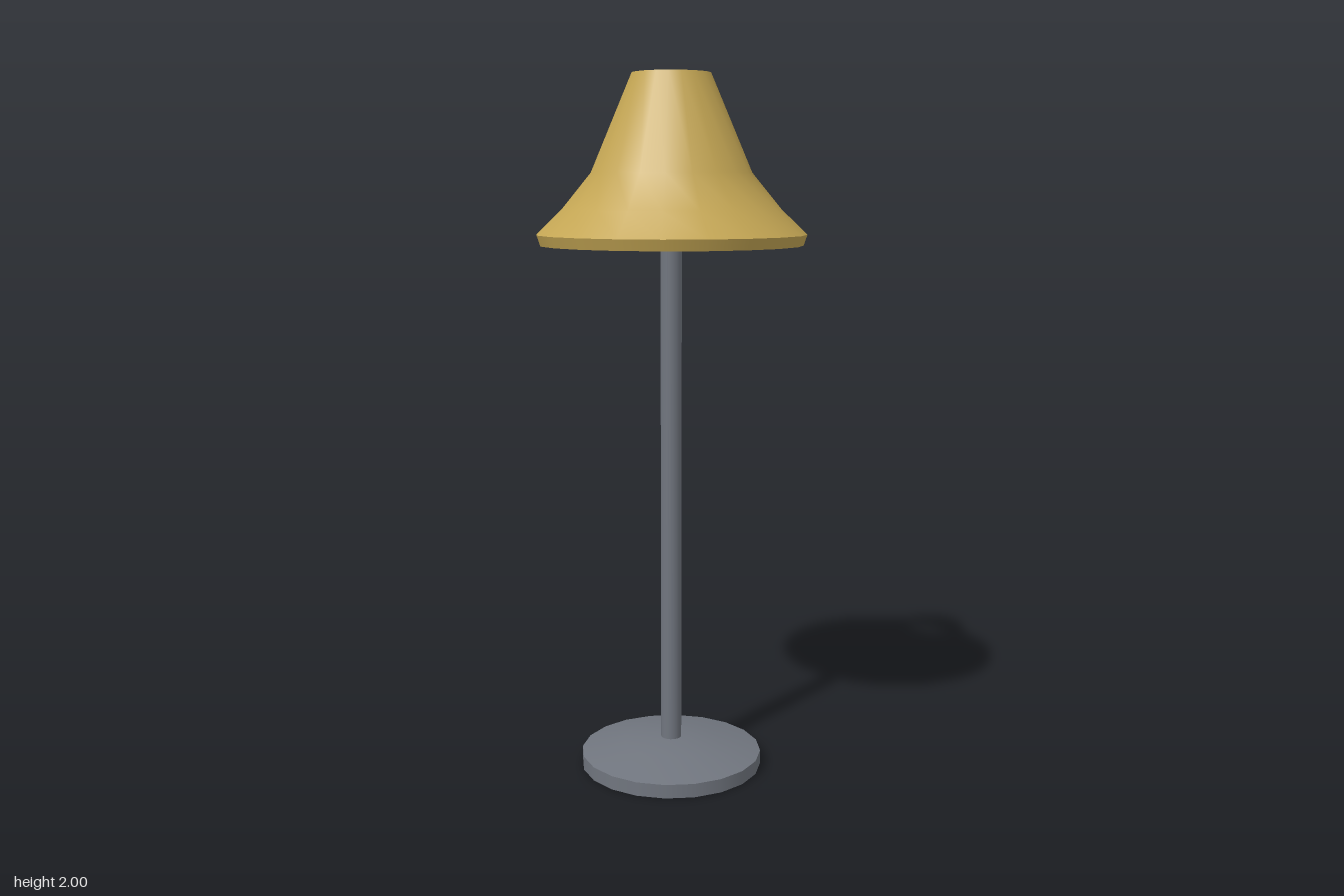
import * as THREE from 'three';

const SIDES = 20;

export function createModel() {
  const lamp = new THREE.Group();
  lamp.name = 'floorLamp';

  const brass = new THREE.MeshStandardMaterial({ color: 0xc4a654 });
  brass.name = 'brass';
  const steel = new THREE.MeshStandardMaterial({ color: 0x70757e });
  steel.name = 'steel grey';

  // Each profile is turned separately, so the edges between them stay sharp.
  function turned(name, material, profiles) {
    const part = new THREE.Group();
    part.name = name;
    for (const [surface, points] of Object.entries(profiles)) {
      const curve = points.map(([r, y]) => new THREE.Vector2(r, y));
      const mesh = new THREE.Mesh(new THREE.LatheGeometry(curve, SIDES), material);
      mesh.name = surface;
      part.add(mesh);
    }
    lamp.add(part);
  }

  // Weighted foot with a shallow domed top
  turned('base', steel, {
    baseUnderside: [[0, 0], [0.265, 0]],
    baseEdge: [[0.265, 0], [0.265, 0.04]],
    baseDome: [[0.265, 0.04], [0.14, 0.07], [0.05, 0.079], [0, 0.08]],
  });

  // Upright pole, ending inside the shade
  turned('pole', steel, {
    poleSide: [[0.03, 0.04], [0.03, 1.8]],
    poleCap: [[0.03, 1.8], [0, 1.8]],
  });

  // Flared hollow shade, open at both ends
  turned('shade', brass, {
    shadeBand: [[0.37, 1.53], [0.38, 1.56]],
    shadeOutside: [[0.38, 1.56], [0.307, 1.63], [0.225, 1.73], [0.11, 2]],
    shadeTopRim: [[0.11, 2], [0.1, 2]],
    shadeInside: [[0.1, 2], [0.213, 1.73], [0.25, 1.67], [0.36, 1.53]],
    shadeBottomRim: [[0.36, 1.53], [0.37, 1.53]],
  });

  return lamp;
}
